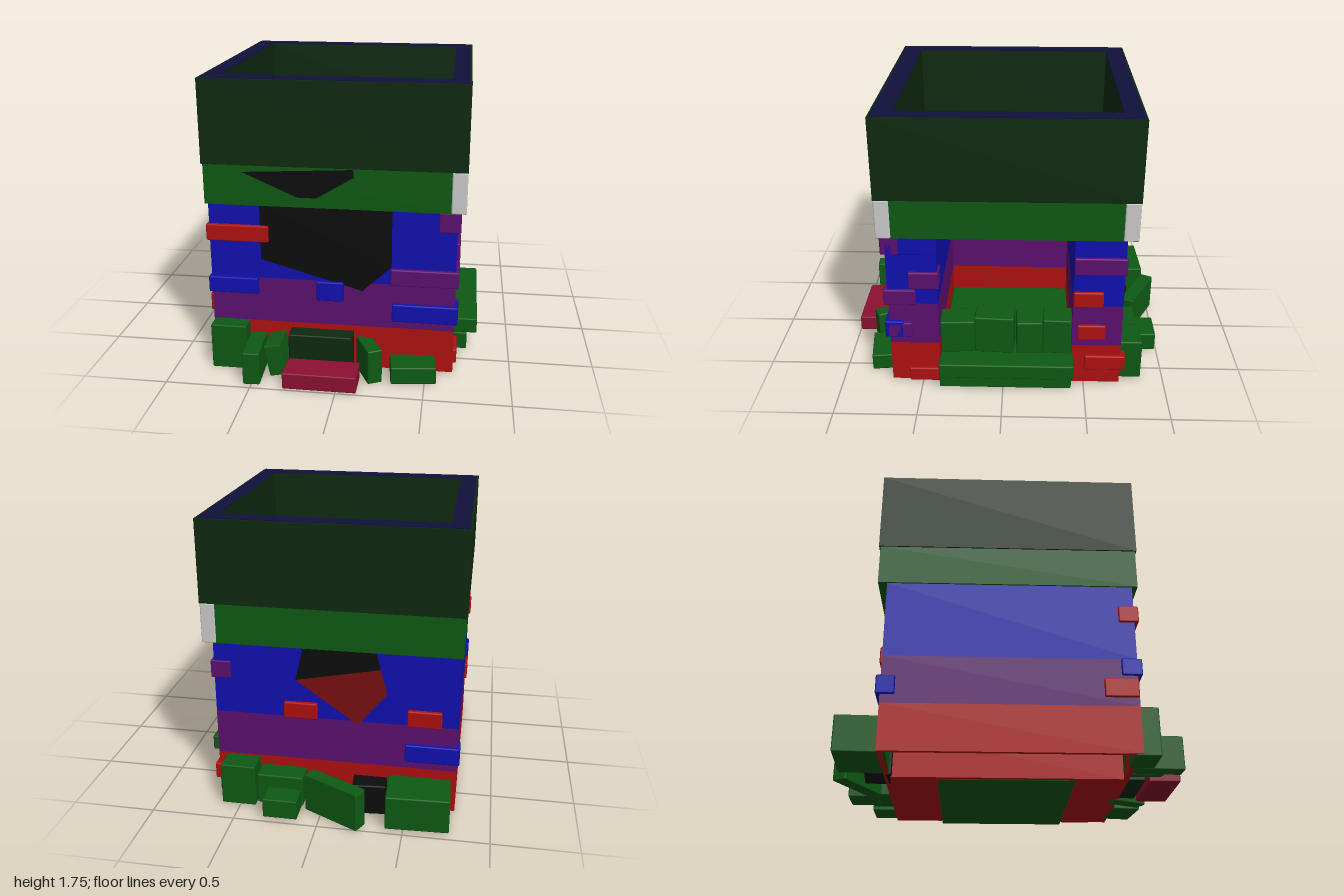
import * as THREE from 'three';
import { RoundedBoxGeometry } from 'three/addons/geometries/RoundedBoxGeometry.js';

const RED = 0xb01010, BLUE = 0x1010b0, PURPLE = 0x5c1070, GREEN = 0x0e5a14, DARK = 0x0e2a10, BLACK = 0x0d0d0d, GREY = 0xcccccc;
const materials = {};
const mat = (color) => (materials[color] ??= new THREE.MeshStandardMaterial({ color, side: THREE.DoubleSide }));

export function createModel() {
  const root = new THREE.Group();

  const add = (name, geometry, color) => {
    const mesh = new THREE.Mesh(geometry, mat(color));
    mesh.name = name;
    root.add(mesh);
    return mesh;
  };

  // Softly bevelled block between two corners
  const block = (name, color, x0, x1, y0, y1, z0, z1, turn = 0, lean = 0) => {
    const mesh = add(name, new RoundedBoxGeometry(x1 - x0, y1 - y0, z1 - z0, 1, 0.008), color);
    mesh.position.set((x0 + x1) / 2, (y0 + y1) / 2, (z0 + z1) / 2);
    mesh.rotation.set(0, turn, lean);
    return mesh;
  };

  // Floor plan of [x, z] points raised between two heights
  const raise = (name, color, plan, hole, y0, y1) => {
    const toPoints = (list) => list.map(([x, z]) => new THREE.Vector2(x, z));
    const shape = new THREE.Shape(toPoints(plan));
    if (hole) shape.holes.push(new THREE.Path(toPoints(hole)));
    const geometry = new THREE.ExtrudeGeometry(shape, { depth: y1 - y0, bevelEnabled: false });
    geometry.rotateX(Math.PI / 2).translate(0, y1, 0);
    return add(name, geometry, color);
  };
  const rect = (x0, x1, z0, z1) => [[x0, z0], [x1, z0], [x1, z1], [x0, z1]];

  // Lower walls with a deep alcove on the +x side, shaded in bands
  const plan = [[-0.785, -0.72], [0.66, -0.72], [0.66, -0.42], [-0.3, -0.42], [-0.3, 0.39], [0.66, 0.39], [0.66, 0.69], [-0.785, 0.69]];
  const hollow = rect(-0.76, -0.33, -0.69, 0.66);
  [[RED, 0.01, 0.28], [PURPLE, 0.28, 0.56], [BLUE, 0.56, 1.02]].forEach(([color, y0, y1]) =>
    raise('lowerWall', color, plan, hollow, y0, y1));

  // Overhanging upper storey, open at the top
  const inner = rect(-0.69, 0.6, -0.66, 0.6);
  raise('upperWall', DARK, rect(-0.803, 0.707, -0.78, 0.73), inner, 1.26, 1.75);
  raise('upperBand', GREEN, rect(-0.795, 0.7, -0.772, 0.722), inner, 1.02, 1.26);
  raise('upperFloor', BLACK, rect(-0.7, 0.61, -0.67, 0.61), null, 1.025, 1.12);
  raise('upperRim', 0x10103c, rect(-0.79, 0.695, -0.768, 0.718), inner, 1.75, 1.754);
  block('cornerPlate', GREY, 0.62, 0.706, 1.02, 1.26, 0.64, 0.729);
  block('cornerPlate', GREY, 0.62, 0.706, 1.02, 1.26, -0.779, -0.69);

  // Dark broken openings lying on the wall faces
  const patch = (name, color, points, z) => {
    const geometry = new THREE.ShapeGeometry(new THREE.Shape(points.map(([x, y]) => new THREE.Vector2(x, y))));
    add(name, geometry, color).position.z = z;
  };
  patch('frontOpening', BLACK, [[-0.48, 1.02], [-0.48, 0.68], [0.12, 0.51], [0.29, 0.67], [0.29, 1.02]], 0.695);
  patch('frontChip', BLACK, [[-0.57, 1.22], [-0.25, 1.08], [-0.14, 1.08], [0.075, 1.21], [0.07, 1.255]], 0.726);
  patch('backOpeningTop', BLACK, [[0.17, 0.8], [-0.33, 0.9], [-0.3, 1.02], [0.12, 1.02]], -0.725);
  patch('backOpeningBase', 0x7a1010, [[0.17, 0.8], [-0.2, 0.54], [-0.37, 0.75], [-0.33, 0.9]], -0.725);

  // Proud bricks on the front: x0, x1, y0, y1, color
  [
    [-0.8, -0.43, 0.79, 0.89, RED], [-0.8, -0.5, 0.46, 0.56, BLUE], [-0.15, 0.01, 0.44, 0.56, BLUE],
    [0.285, 0.68, 0.56, 0.66, PURPLE], [0.295, 0.68, 0.33, 0.44, BLUE], [0.555, 0.68, 0.9, 1.02, PURPLE],
  ].forEach(([x0, x1, y0, y1, color]) => block('frontBrick', color, x0, x1, y0, y1, 0.6, 0.715));

  // Back bricks
  [
    [0.04, 0.24, 0.56, 0.66, RED], [-0.69, -0.49, 0.56, 0.66, RED], [-0.8, -0.48, 0.33, 0.44, BLUE],
  ].forEach(([x0, x1, y0, y1, color]) => block('backBrick', color, x0, x1, y0, y1, -0.745, -0.64));
  block('leftCornerBrick', RED, -0.8, -0.7, 0.33, 0.44, 0.5, 0.69);

  // Bricks on the two piers beside the alcove: z0, z1, y0, y1, color
  [
    [0.385, 0.69, 0.9, 1.02, BLUE], [0.38, 0.56, 0.67, 0.78, PURPLE], [0.52, 0.69, 0.56, 0.66, PURPLE],
    [0.55, 0.7, 0.33, 0.43, PURPLE], [0.39, 0.58, 0.01, 0.1, RED],
    [-0.73, -0.42, 0.78, 0.89, PURPLE], [-0.6, -0.42, 0.56, 0.66, RED],
    [-0.62, -0.45, 0.33, 0.43, RED], [-0.75, -0.5, 0.11, 0.21, RED],
  ].forEach(([z0, z1, y0, y1, color]) => block('pierBrick', color, 0.56, 0.68, y0, y1, z0, z1));

  // Stone steps and upright stones in the alcove
  block('lowerStep', GREEN, -0.28, 0.74, 0.01, 0.12, -0.42, 0.39);
  block('upperStep', GREEN, 0.3, 0.8, 0.12, 0.215, -0.43, 0.385);
  [[0.175, 0.385, 0.43, 0.05], [-0.07, 0.17, 0.46, -0.05], [-0.24, -0.08, 0.43, 0.04], [-0.42, -0.245, 0.45, -0.04]]
    .forEach(([z0, z1, top, turn]) => block('uprightStone', GREEN, 0.5, 0.66, 0.215, top, z0, z1, turn));

  // Fallen stones: x0, x1, y0, y1, z0, z1, turn, lean, color
  [
    [-0.78, -0.565, 0, 0.28, 0.65, 0.79, 0, 0, GREEN],
    [-0.555, -0.455, 0, 0.2, 0.68, 0.965, 0.05, 0, GREEN],
    [-0.425, -0.325, 0.02, 0.215, 0.66, 0.88, 0, 0.2, GREEN],
    [-0.31, 0.07, 0.01, 0.245, 0.66, 0.79, 0, 0, DARK],
    [-0.31, 0.12, 0.005, 0.105, 0.81, 0.995, 0, 0, 0x8c1030],
    [0.12, 0.21, 0, 0.21, 0.64, 0.87, 0.45, 0, GREEN],
    [0.295, 0.56, 0.005, 0.11, 0.68, 0.85, 0.12, 0, GREEN],
    [0.4, 0.61, 0.01, 0.27, -0.86, -0.68, 0, 0, GREEN],
    [0.11, 0.39, 0.03, 0.22, -0.85, -0.68, 0, 0, GREEN],
    [0.12, 0.325, 0.02, 0.14, -0.985, -0.8, 0, 0, GREEN],
    [-0.28, 0.1, 0.01, 0.25, -0.945, -0.855, -0.48, 0, GREEN],
    [-0.38, -0.18, 0.01, 0.2, -0.835, -0.68, 0.08, 0, BLACK],
    [-0.76, -0.39, 0.01, 0.22, -0.965, -0.68, 0.04, 0, GREEN],
  ].forEach(([x0, x1, y0, y1, z0, z1, turn, lean, color]) => block('fallenStone', color, x0, x1, y0, y1, z0, z1, turn, lean));

  return root;
}
